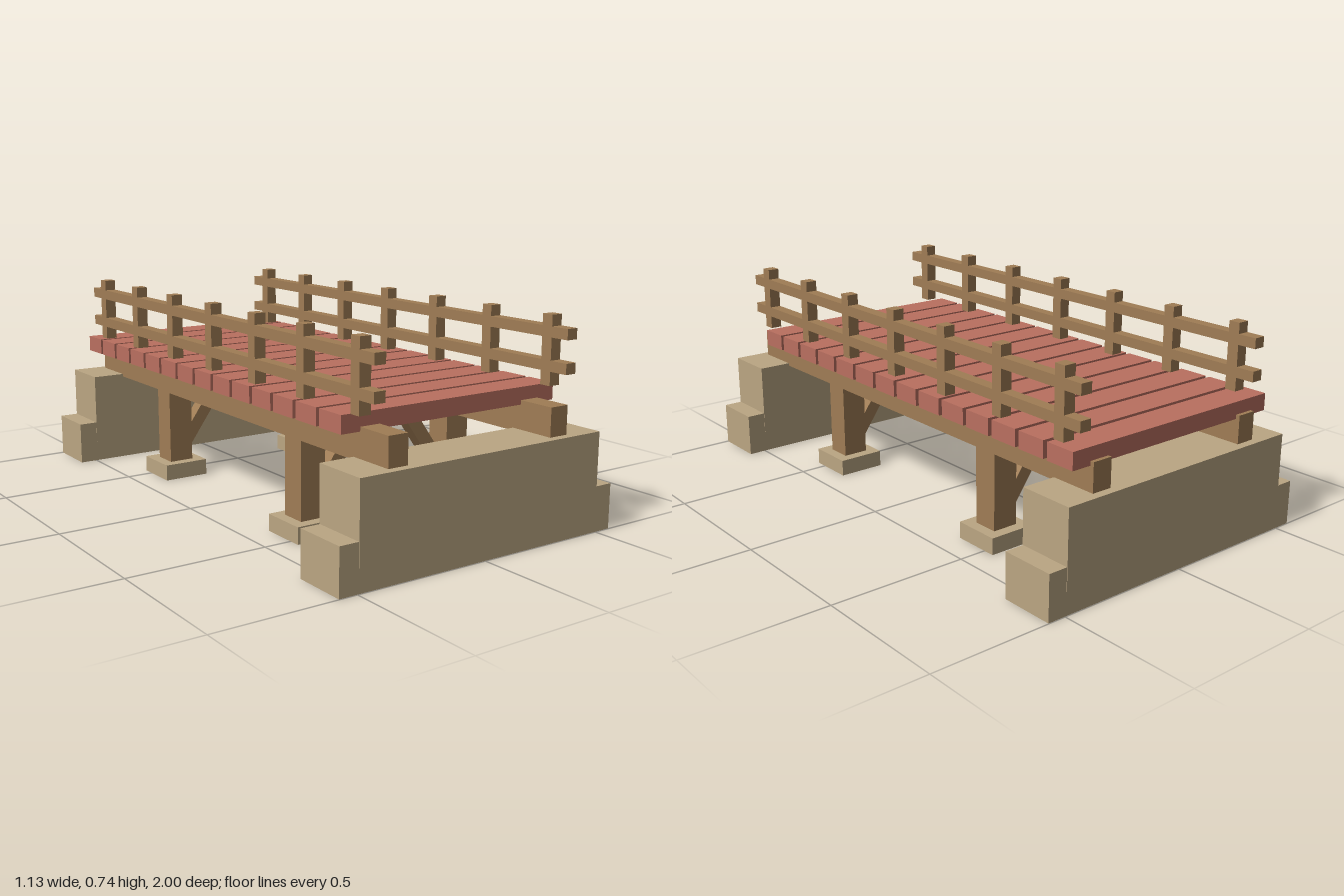
import * as THREE from 'three';

const wood = new THREE.MeshStandardMaterial({ color: 0xa07d55 });
const plankRed = new THREE.MeshStandardMaterial({ color: 0xba7060 });
const stone = new THREE.MeshStandardMaterial({ color: 0xbba683 });

export function createModel() {
  const bridge = new THREE.Group();
  bridge.name = 'footbridge';

  // Box given by its size and centre
  function box(name, material, [w, h, d], [x, y, z]) {
    const mesh = new THREE.Mesh(new THREE.BoxGeometry(w, h, d), material);
    mesh.name = name;
    mesh.position.set(x, y, z);
    bridge.add(mesh);
    return mesh;
  }

  // Stepped stone abutments at both ends
  for (const end of [-1, 1]) {
    box('abutmentBase', stone, [1.13, 0.16, 0.196], [0, 0.08, end * 0.9]);
    box('abutmentBlock', stone, [0.99, 0.27, 0.2], [0, 0.215, end * 0.9]);
  }

  // Deck planks
  const plankCount = 14;
  for (let i = 0; i < plankCount; i++) {
    box('deckPlank', plankRed, [0.884, 0.06, 0.112], [0, 0.465, -0.9 + i * 0.129]);
  }

  for (const side of [-1, 1]) {
    // Long beam under the deck
    box('beam', wood, [0.074, 0.11, 1.94], [side * 0.333, 0.395, 0]);

    // Railing: posts and two rails
    const railX = side * 0.393;
    for (let i = -3; i <= 3; i++) {
      box('railingPost', wood, [0.043, 0.238, 0.043], [railX, 0.616, i * 0.288]);
    }
    box('lowerRail', wood, [0.043, 0.037, 1.91], [railX, 0.564, 0]);
    box('upperRail', wood, [0.043, 0.037, 1.91], [railX, 0.678, 0]);

    // Piers with footings and slanted braces up to the deck
    for (const end of [-1, 1]) {
      const z = end * 0.455;
      box('footing', stone, [0.175, 0.06, 0.175], [side * 0.313, 0.03, z]);
      box('pier', wood, [0.095, 0.375, 0.095], [side * 0.313, 0.1925, z]);

      const foot = new THREE.Vector2(0.337, 0.045);
      const head = new THREE.Vector2(0.037, 0.465);
      const brace = box('brace', wood, [0.05, foot.distanceTo(head), 0.052],
        [side * (foot.x + head.x) / 2, (foot.y + head.y) / 2, z]);
      brace.rotation.z = side * Math.atan2(foot.x - head.x, head.y - foot.y);
    }
  }

  return bridge;
}
